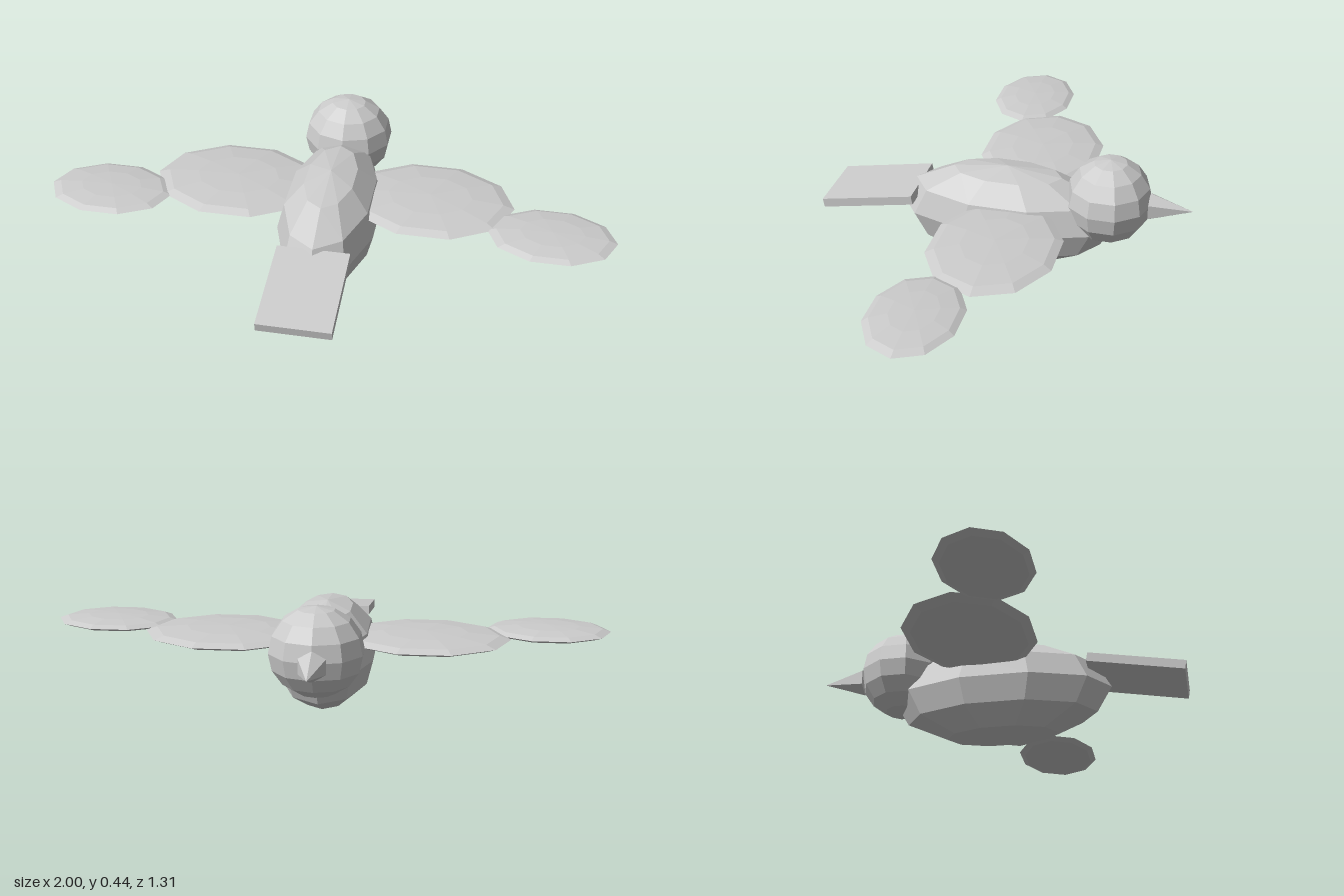
import * as THREE from 'three';

const material = new THREE.MeshStandardMaterial({ color: 0xcccccc, flatShading: true });

function part(parent, name, geometry, x, y, z) {
  const mesh = new THREE.Mesh(geometry, material);
  mesh.name = name;
  mesh.position.set(x, y, z);
  parent.add(mesh);
  return mesh;
}

// Ten-sided faceted ellipsoid; turn rotates its corners about the vertical axis
function ellipsoid(rx, ry, rz, rings, turn = 0) {
  return new THREE.SphereGeometry(1, 10, rings).rotateY(turn).scale(rx, ry, rz);
}

export function createModel() {
  const bird = new THREE.Group();
  bird.name = 'bird';

  // Body and head, with a corner facing along z
  part(bird, 'body', ellipsoid(0.179, 0.182, 0.39, 6, Math.PI / 2), 0, 0.183, 0);
  part(bird, 'head', ellipsoid(0.162, 0.153, 0.152, 8, Math.PI / 2), 0, 0.285, -0.363);

  // Six-sided beak pointing to -z
  const beak = new THREE.ConeGeometry(0.052, 0.15, 6).rotateX(-Math.PI / 2);
  part(bird, 'beak', beak, 0, 0.275, -0.58);

  // Flat tail slab, drooping towards its end
  const tail = part(bird, 'tail', new THREE.BoxGeometry(0.25, 0.032, 0.34), 0, 0.216, 0.485);
  tail.rotation.x = THREE.MathUtils.degToRad(10);

  // Two flattened segments for each wing
  for (const [side, s] of [['left', 1], ['right', -1]]) {
    const wing = new THREE.Group();
    wing.name = side + 'Wing';
    part(wing, side + 'InnerWing', ellipsoid(0.297, 0.026, 0.225, 6), s * 0.347, 0.25, -0.045);
    part(wing, side + 'OuterWing', ellipsoid(0.22, 0.021, 0.155, 6), s * 0.78, 0.25, 0.09);
    bird.add(wing);
  }
  return bird;
}
